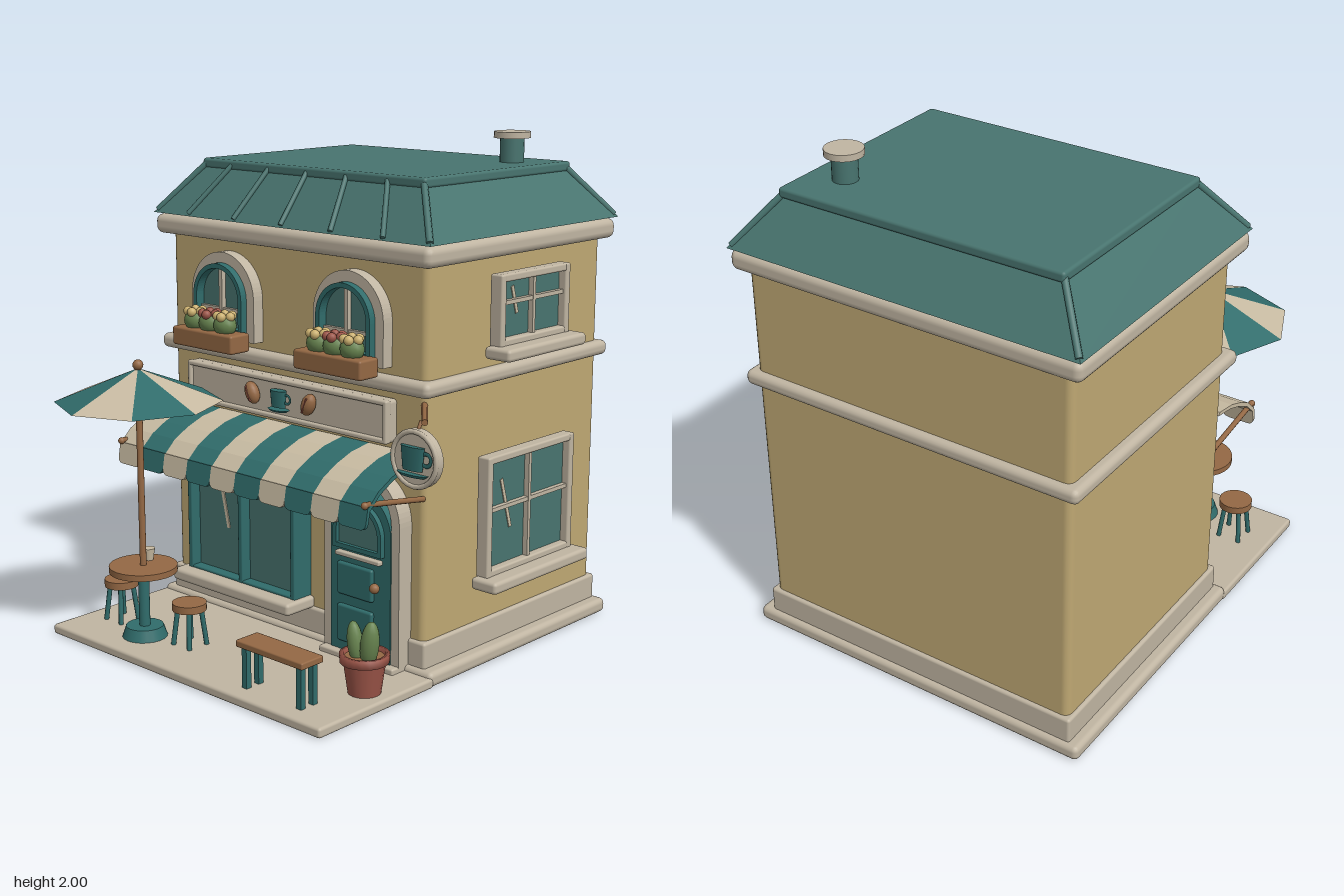
import * as THREE from 'three';
import { RoundedBoxGeometry } from 'three/addons/geometries/RoundedBoxGeometry.js';

const mat = (name, color, side = THREE.FrontSide) => {
  const m = new THREE.MeshStandardMaterial({ color, side });
  m.name = name;
  return m;
};

export function createModel() {
  const root = new THREE.Group();
  root.name = 'cafe';
  const wall = mat('wallOchre', 0xbfa873), trim = mat('trimStone', 0xc0b5a2);
  const roofTeal = mat('roofTeal', 0x48746f), teal = mat('darkTeal', 0x306c6b, THREE.DoubleSide);
  const cream = mat('creamCanvas', 0xc8bba2, THREE.DoubleSide), brown = mat('wood', 0x946844);
  const clay = mat('clay', 0x9c5548), green = mat('leafGreen', 0x67834f), yellow = mat('petalYellow', 0xcbb06f);

  const add = (name, geo, m, x = 0, y = 0, z = 0, parent = root) => {
    const mesh = new THREE.Mesh(geo, m);
    mesh.name = name;
    mesh.position.set(x, y, z);
    parent.add(mesh);
    return mesh;
  };
  // Rounded box given by its extents
  const box = (name, m, x0, x1, y0, y1, z0, z1, r = 0.006) => add(name,
    r ? new RoundedBoxGeometry(x1 - x0, y1 - y0, z1 - z0, 2, r) : new THREE.BoxGeometry(x1 - x0, y1 - y0, z1 - z0),
    m, (x0 + x1) / 2, (y0 + y1) / 2, (z0 + z1) / 2);
  const disc = (name, m, x, y0, y1, z, rTop, rBottom = rTop, seg = 20) =>
    add(name, new THREE.CylinderGeometry(rTop, rBottom, y1 - y0, seg), m, x, (y0 + y1) / 2, z);
  const ball = (name, m, x, y, z, rx, ry = rx, rz = rx) => {
    const b = add(name, new THREE.SphereGeometry(1, 14, 10), m, x, y, z);
    b.scale.set(rx, ry, rz);
    return b;
  };
  // Round bar between two points
  const rod = (name, m, a, b, r) => {
    const p = new THREE.Vector3(...a), q = new THREE.Vector3(...b), d = q.clone().sub(p);
    const c = add(name, new THREE.CylinderGeometry(r, r, d.length(), 8), m);
    c.position.copy(p).add(q).multiplyScalar(0.5);
    c.quaternion.setFromUnitVectors(new THREE.Vector3(0, 1, 0), d.normalize());
    return c;
  };
  const archPath = (path, w, y0, ys) => {
    path.moveTo(-w, y0);
    path.lineTo(w, y0);
    path.lineTo(w, ys);
    path.absarc(0, ys, w, 0, Math.PI, false);
    path.lineTo(-w, y0);
    return path;
  };
  // Arched plate, or arched frame when an inner half width is given
  const arch = (name, m, x, w, y0, ys, z0, z1, inner = 0, innerY0 = y0 + w - inner) => {
    const s = archPath(new THREE.Shape(), w, y0, ys);
    if (inner) s.holes.push(archPath(new THREE.Path(), inner, innerY0, ys));
    return add(name, new THREE.ExtrudeGeometry(s, { depth: z1 - z0, bevelEnabled: false, curveSegments: 16 }), m, x, 0, z0);
  };

  // Ground and walls
  box('baseSlab', trim, -0.83, 0.66, 0, 0.06, -0.94, 0.2, 0.022);
  box('patio', trim, -0.83, 0.66, 0, 0.04, 0.18, 0.8, 0.012);
  box('foundation', trim, -0.785, 0.61, 0.05, 0.16, -0.92, 0.18, 0.012);
  box('walls', wall, -0.77, 0.595, 0.06, 1.64, -0.905, 0.165, 0.03);
  box('beltCourse', trim, -0.81, 0.63, 1.1, 1.16, -0.935, 0.205, 0.025);
  box('cornice', trim, -0.825, 0.64, 1.575, 1.655, -0.95, 0.215, 0.03);

  // Hipped roof: a box whose top is drawn inward
  const roof = new THREE.BoxGeometry(1.47, 0.19, 1.165), rp = roof.attributes.position;
  for (let i = 0; i < rp.count; i++) if (rp.getY(i) > 0) {
    rp.setX(i, rp.getX(i) * 0.79);
    rp.setZ(i, rp.getZ(i) * 0.745);
  }
  roof.computeVertexNormals();
  add('roofSlopes', roof, roofTeal, -0.09, 1.755, -0.3675);
  box('roofDeck', roofTeal, -0.68, 0.5, 1.84, 1.88, -0.82, 0.075, 0.012);
  for (let k = -2; k <= 2; k++)
    rod('roofSeam', roofTeal, [-0.1 + k * 0.26, 1.67, 0.213], [-0.1 + k * 0.207, 1.86, 0.068], 0.01);
  for (const sx of [-1, 1]) for (const sz of [-1, 1])
    rod('roofHip', roofTeal, [-0.09 + sx * 0.722, 1.67, -0.3675 + sz * 0.57], [-0.09 + sx * 0.575, 1.86, -0.3675 + sz * 0.43], 0.013);
  disc('chimney', roofTeal, 0.347, 1.87, 1.98, -0.635, 0.048);
  disc('chimneyCap', trim, 0.347, 1.975, 2, -0.635, 0.073);

  // Arched upper windows with flower boxes
  for (const x of [-0.425, 0.25]) {
    arch('archFrame', trim, x, 0.177, 1.19, 1.358, 0.16, 0.215, 0.135);
    arch('archSash', teal, x, 0.137, 1.22, 1.355, 0.19, 0.245, 0.118);
    arch('archGlass', roofTeal, x, 0.125, 1.22, 1.355, 0.17, 0.205);
    box('archMullion', trim, x - 0.009, x + 0.009, 1.22, 1.472, 0.2, 0.225, 0);
    box('archCrossbar', trim, x - 0.12, x + 0.12, 1.3, 1.315, 0.2, 0.22, 0);
    box('flowerBox', brown, x - 0.17, x + 0.17, 1.16, 1.235, 0.23, 0.333, 0.01);
    for (let i = -1; i <= 1; i++) {
      const bx = x + i * 0.085;
      ball('bush', green, bx, 1.262, 0.282, 0.05, 0.045, 0.043);
      for (let j = 0; j < 5; j++) {
        const a = j * Math.PI * 0.4;
        ball('blossom', i ? yellow : clay, bx + Math.cos(a) * 0.03, 1.298, 0.282 + Math.sin(a) * 0.03, 0.019);
      }
      ball('blossom', i ? yellow : clay, bx, 1.307, 0.282, 0.017);
    }
  }

  // Coffee cup: upright body, side handle and saucer
  const cup = (name, m, x, y, z, s, flat = 1) => {
    const g = new THREE.Group();
    g.name = name;
    g.position.set(x, y, z);
    g.scale.set(s, s, s * flat);
    root.add(g);
    add('cupBody', new THREE.CylinderGeometry(0.5, 0.42, 0.8, 16), m, 0, 0, 0, g);
    add('cupHandle', new THREE.TorusGeometry(0.21, 0.07, 8, 16), m, 0.56, 0.03, 0, g);
    add('saucer', new THREE.CylinderGeometry(0.66, 0.5, 0.1, 16), m, 0, -0.56, 0, g);
  };

  // Shop sign
  box('signBoard', trim, -0.625, 0.455, 0.91, 1.075, 0.16, 0.215, 0.015);
  for (const y of [0.91, 1.055]) box('signRim', trim, -0.625, 0.455, y, y + 0.02, 0.2, 0.23, 0.008);
  for (const x of [-0.625, 0.435]) box('signRim', trim, x, x + 0.02, 0.91, 1.075, 0.2, 0.23, 0.008);
  for (const [x, tilt] of [[-0.24, 0.4], [0.066, -0.4]]) {
    ball('coffeeBean', brown, x, 1, 0.235, 0.03, 0.046, 0.028).rotation.z = tilt;
    const crease = box('beanCrease', clay, x - 0.002, x + 0.002, 0.968, 1.032, 0.255, 0.264, 0);
    crease.rotation.z = tilt;
  }
  cup('signCup', teal, -0.09, 1, 0.24, 0.082, 0.5);

  // Striped awning: curved canopy with a rounded valance on each stripe
  const curve = [[0.17, 0.885], [0.27, 0.868], [0.35, 0.838], [0.42, 0.8], [0.475, 0.748]];
  const canopy = new THREE.Shape([
    ...curve.map(([z, y]) => new THREE.Vector2(-z, y)),
    ...curve.slice().reverse().map(([z, y]) => new THREE.Vector2(-z + 0.008, y - 0.014))]);
  const w = 0.1355, c = 0.03;
  const flap = new THREE.Shape();
  flap.moveTo(0, 0);
  flap.lineTo(0, -0.085 + c);
  flap.quadraticCurveTo(0, -0.085, c, -0.085);
  flap.lineTo(w - c, -0.085);
  flap.quadraticCurveTo(w, -0.085, w, -0.085 + c);
  flap.lineTo(w, 0);
  for (let i = 0; i < 10; i++) {
    const m = i % 2 ? teal : cream, x = -0.765 + i * w;
    add('awningStripe', new THREE.ExtrudeGeometry(canopy, { depth: w, bevelEnabled: false }), m, x).rotation.y = Math.PI / 2;
    add('awningValance', new THREE.ExtrudeGeometry(flap, { depth: 0.014, bevelEnabled: false }), m, x, 0.75, 0.462).rotation.x = -0.18;
  }
  for (const x of [-0.75, 0.58]) {
    rod('awningArm', brown, [x, 0.715, 0.16], [x, 0.762, 0.475], 0.011);
    ball('awningArmEnd', brown, x, 0.76, 0.482, 0.014);
  }

  // Shop window
  box('shopGlass', roofTeal, -0.59, 0, 0.2, 0.8, 0.16, 0.215, 0);
  for (const x of [-0.605, -0.309, -0.015]) box('shopWindowPost', teal, x, x + 0.025, 0.19, 0.81, 0.16, 0.26);
  for (const y of [0.19, 0.785]) box('shopWindowRail', teal, -0.605, 0.01, y, y + 0.025, 0.16, 0.258);
  box('shopSill', trim, -0.64, 0.03, 0.155, 0.205, 0.16, 0.32, 0.015);
  box('glassGlint', cream, -0.436, -0.42, 0.4, 0.62, 0.214, 0.219, 0).rotation.z = 0.22;

  // Front door
  const dx = 0.34;
  arch('doorFrame', trim, dx, 0.19, 0.04, 0.605, 0.16, 0.235, 0.15, 0.045);
  arch('doorLeaf', teal, dx, 0.152, 0.06, 0.56, 0.16, 0.24);
  arch('doorGlassRim', teal, dx, 0.122, 0.48, 0.55, 0.23, 0.262, 0.104);
  arch('doorGlass', roofTeal, dx, 0.106, 0.49, 0.55, 0.23, 0.246);
  box('doorBar', trim, dx - 0.112, dx + 0.112, 0.447, 0.465, 0.235, 0.262, 0.005);
  for (const [y0, y1] of [[0.29, 0.42], [0.1, 0.25]]) box('doorPanel', teal, dx - 0.11, dx + 0.07, y0, y1, 0.23, 0.255, 0.01);
  ball('doorKnob', brown, 0.437, 0.36, 0.268, 0.02);
  box('doorStep', trim, 0.15, 0.53, 0.03, 0.062, 0.16, 0.27, 0.008);

  // Side windows: frame, cross bars, sill and glint
  const sideWindow = (y0, y1, z0, z1, barY, glint) => {
    const t = 0.03, zm = (z0 + z1) / 2;
    box('sideGlass', roofTeal, 0.627, 0.648, y0 + 0.01, y1 - 0.01, z0 + 0.01, z1 - 0.01, 0);
    for (const z of [z0, z1 - t]) box('sideFramePost', trim, 0.625, 0.682, y0, y1, z, z + t, 0.008);
    for (const y of [y0, y1 - t]) box('sideFrameRail', trim, 0.625, 0.68, y, y + t, z0, z1, 0.008);
    box('sideMullion', trim, 0.64, 0.67, y0, y1, zm - 0.008, zm + 0.008, 0);
    box('sideCrossbar', trim, 0.64, 0.668, barY - 0.008, barY + 0.008, z0, z1, 0);
    box('sideSill', trim, 0.625, 0.745, y0 - 0.042, y0 + 0.006, z0 - 0.03, z1 + 0.03, 0.015);
    const [gy, gz, len] = glint;
    box('sideGlint', cream, 0.646, 0.652, gy - len / 2, gy + len / 2, gz - 0.008, gz + 0.008, 0).rotation.x = 0.29;
  };
  sideWindow(0.358, 0.835, -0.645, -0.1, 0.62, [0.625, -0.247, 0.21]);
  sideWindow(1.245, 1.52, -0.585, -0.155, 1.41, [1.412, -0.273, 0.11]);

  // Round hanging sign on a diagonal arm
  rod('signArm', brown, [0.58, 1.07, 0.16], [0.75, 1.07, 0.36], 0.012);
  rod('signHanger', brown, [0.722, 1.07, 0.345], [0.722, 1.03, 0.365], 0.007);
  add('roundSign', new THREE.CylinderGeometry(0.108, 0.108, 0.032, 24), trim, 0.722, 0.937, 0.366).rotation.x = Math.PI / 2;
  add('roundSignRim', new THREE.TorusGeometry(0.1, 0.01, 8, 24), trim, 0.722, 0.937, 0.38);
  cup('roundSignCup', teal, 0.72, 0.942, 0.388, 0.108, 0.3);

  // Parasol and table
  const px = -0.463, pz = 0.627;
  for (let i = 0; i < 8; i++) {
    const g = new THREE.ConeGeometry(0.326, 0.13, 1, 1, true, i * Math.PI / 4, Math.PI / 4).toNonIndexed();
    g.computeVertexNormals();
    add('parasolPanel', g, i % 2 ? teal : cream, px, 1.062, pz);
  }
  disc('parasolPole', brown, px, 0.08, 1.13, pz, 0.013);
  ball('parasolFinial', brown, px, 1.14, pz, 0.021);
  disc('tableTop', brown, px, 0.31, 0.335, pz, 0.135, 0.135, 28);
  disc('tablePedestal', teal, px, 0.07, 0.312, pz, 0.022);
  disc('tableFoot', teal, px, 0.04, 0.085, pz, 0.075, 0.09);
  disc('tableCup', cream, -0.495, 0.335, 0.383, 0.57, 0.025, 0.018);

  // Stools
  for (const x of [-0.67, -0.26]) {
    disc('stoolSeat', brown, x, 0.185, 0.215, 0.57, 0.068);
    for (let i = 0; i < 4; i++) {
      const a = Math.PI / 4 + i * Math.PI / 2, u = Math.cos(a), v = Math.sin(a);
      rod('stoolLeg', teal, [x + u * 0.065, 0.04, 0.57 + v * 0.065], [x + u * 0.045, 0.19, 0.57 + v * 0.045], 0.01);
    }
  }

  // Bench
  box('benchSeat', brown, 0.18, 0.52, 0.198, 0.225, 0.63, 0.742);
  for (const x of [0.212, 0.49]) for (const z of [0.655, 0.717])
    box('benchLeg', teal, x - 0.012, x + 0.012, 0.035, 0.2, z - 0.012, z + 0.012, 0);

  // Potted cactus
  const cx = 0.555, cz = 0.452;
  disc('pot', clay, cx, 0.04, 0.165, cz, 0.08, 0.062);
  add('potRim', new THREE.LatheGeometry([[0.076, 0.16], [0.092, 0.16], [0.094, 0.192], [0.076, 0.192], [0.076, 0.16]]
    .map(p => new THREE.Vector2(...p)), 20), clay, cx, 0, cz);
  disc('soil', brown, cx, 0.16, 0.178, cz, 0.078);
  ball('cactus', green, 0.583, 0.232, 0.455, 0.036, 0.09, 0.036).rotation.z = -0.12;
  ball('cactus', green, 0.523, 0.23, 0.468, 0.03, 0.08, 0.03).rotation.z = 0.15;
  ball('cactus', green, 0.555, 0.212, 0.41, 0.026, 0.06, 0.026).rotation.x = -0.15;
  return root;
}
